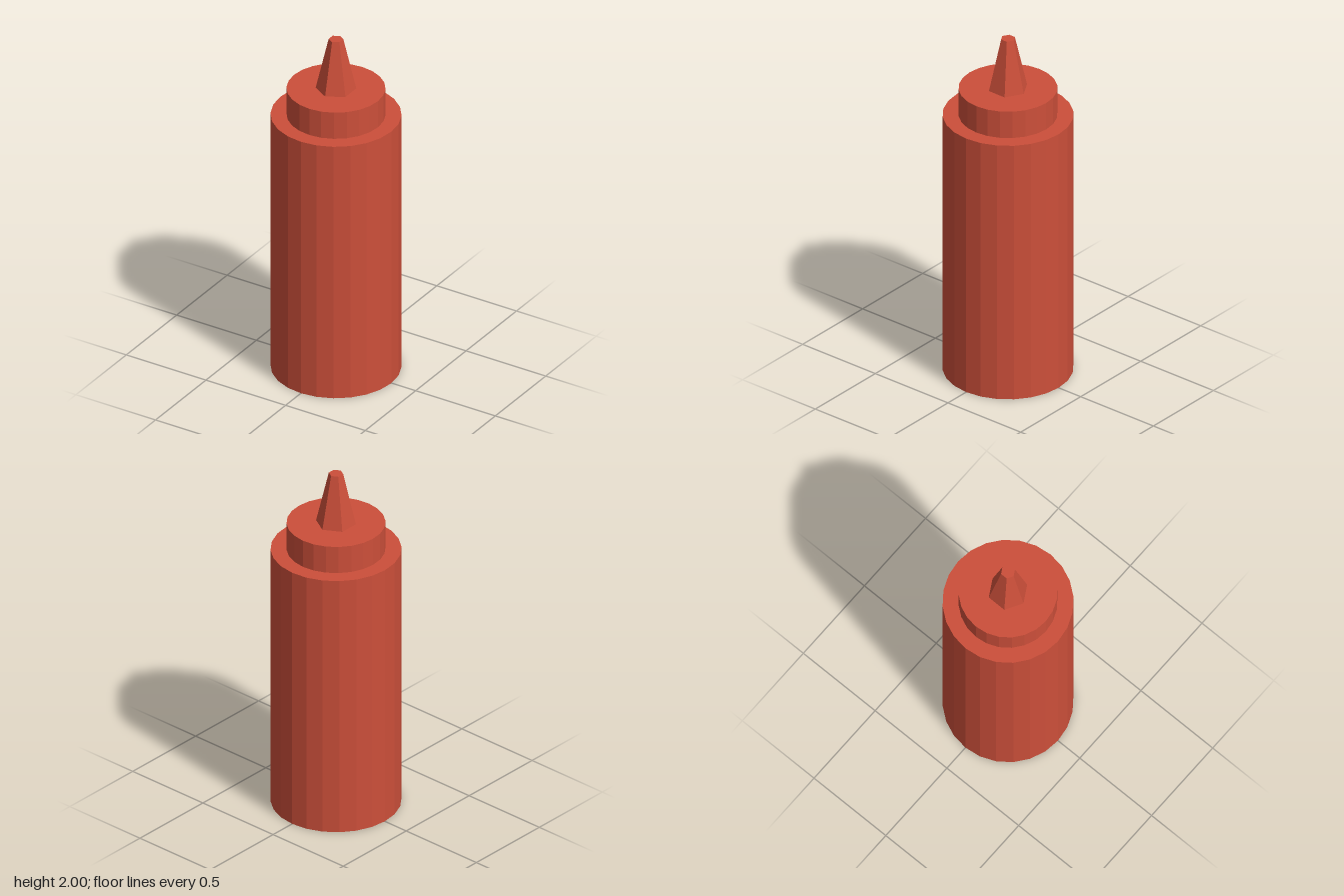
import * as THREE from 'three';

export function createModel() {
  const model = new THREE.Group();
  model.name = 'squeezeBottle';
  const red = new THREE.MeshStandardMaterial({ color: 0xcc4f3a, flatShading: true });

  // Upright faceted section from height y0 to y1
  function addSection(name, topRadius, bottomRadius, y0, y1, sides) {
    const geometry = new THREE.CylinderGeometry(topRadius, bottomRadius, y1 - y0, sides);
    const mesh = new THREE.Mesh(geometry, red);
    mesh.name = name;
    mesh.position.y = (y0 + y1) / 2;
    model.add(mesh);
  }

  addSection('body', 0.348, 0.348, 0, 1.54, 24);
  addSection('cap', 0.263, 0.263, 1.54, 1.7, 24);
  // Hexagonal tapered spout
  addSection('nozzle', 0.039, 0.108, 1.7, 2, 6);

  return model;
}
